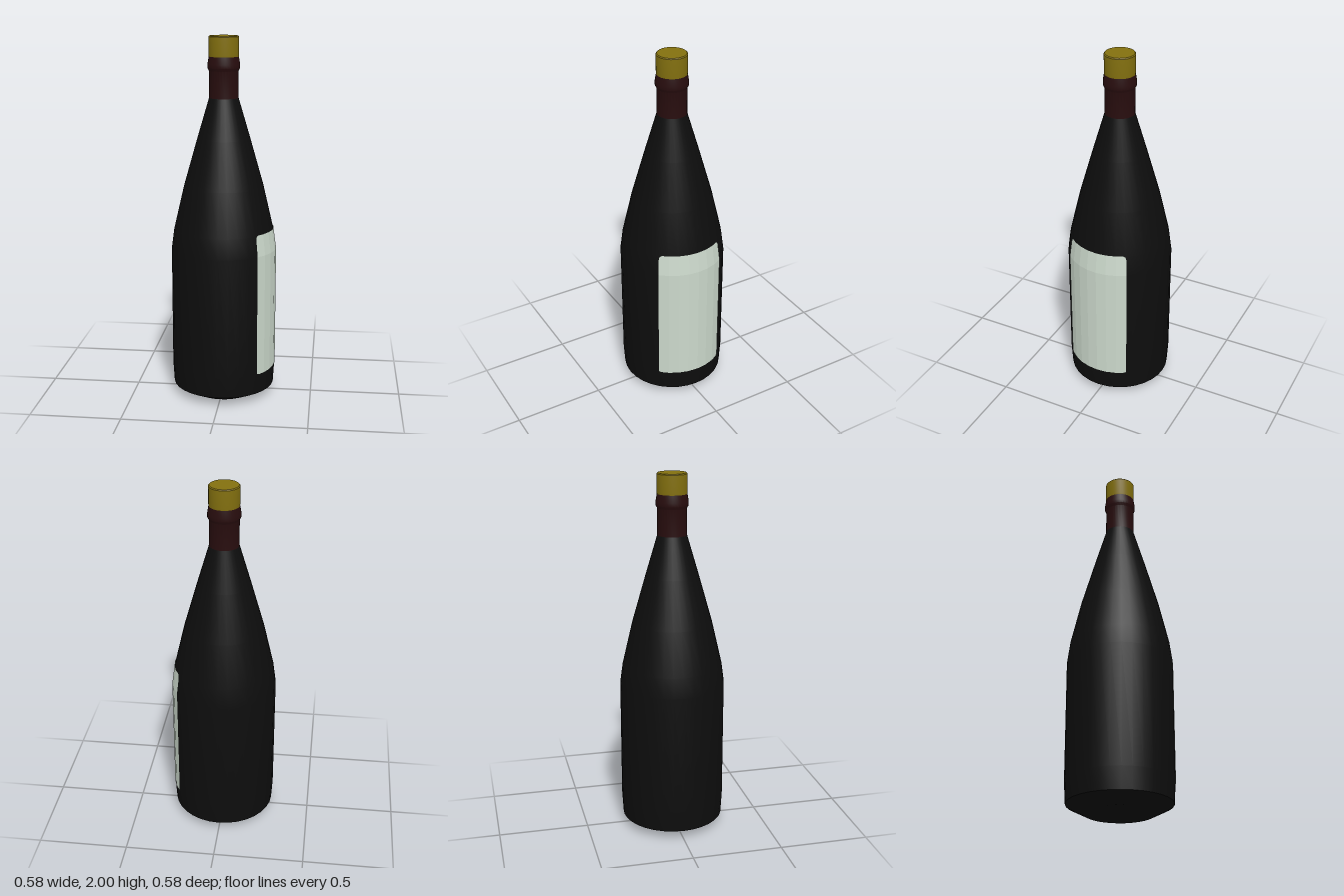
import * as THREE from 'three';
import { toCreasedNormals } from 'three/addons/utils/BufferGeometryUtils.js';

const SIDES = 32;
const STEP = (Math.PI * 2) / SIDES;

const mat = (name, color) => {
  const m = new THREE.MeshStandardMaterial({ color });
  m.name = name;
  return m;
};

// Turned part from [radius, height] pairs, with sharp edges kept
function turned(name, profile, material) {
  const lathe = new THREE.LatheGeometry(profile.map(([r, y]) => new THREE.Vector2(r, y)), SIDES);
  const mesh = new THREE.Mesh(toCreasedNormals(lathe, 0.5), material);
  mesh.name = name;
  return mesh;
}

// Curved paper label lying on the facets of the bottle side
function labelGeometry() {
  const first = 4, last = 11; // bottle facets covered, counted from +z towards +x
  const columns = [first, first + 0.1, first + 0.3];
  for (let i = first + 1; i < last; i++) columns.push(i);
  columns.push(last - 0.3, last - 0.1, last);
  const n = columns.length;
  const radius = (y) => 0.2925 - Math.max(0, y - 0.84) * 0.136;
  const positions = [], index = [];
  columns.forEach((c, i) => {
    const edge = Math.min(i, n - 1 - i);
    const round = [1, 0.3, 0][edge] ?? 0; // rounded corners
    const rows = [0.165 + 0.008 * round, 0.84, 0.955 - 0.02 * round];
    // stay on the flat facet between bottle edges
    const flat = Math.cos(STEP / 2) / Math.cos((c - Math.floor(c) - 0.5) * STEP);
    for (const y of rows) {
      const r = radius(y) * flat;
      positions.push(r * Math.sin(c * STEP), y, r * Math.cos(c * STEP));
    }
    if (i === n - 1) return;
    for (let j = 0; j < 2; j++) {
      const a = i * 3 + j, b = a + 3;
      index.push(a, b, b + 1, a, b + 1, a + 1);
    }
  });
  const g = new THREE.BufferGeometry();
  g.setAttribute('position', new THREE.Float32BufferAttribute(positions, 3));
  g.setIndex(index);
  const faceted = g.toNonIndexed();
  faceted.computeVertexNormals();
  return faceted;
}

export function createModel() {
  const glass = mat('black glass', 0x0d0d0d);
  const foil = mat('dark red foil', 0x280d0e);
  const gold = mat('gold cap', 0x83700f);
  const paper = mat('pale paper', 0xcbd8cb);
  paper.side = THREE.DoubleSide;

  const bottle = new THREE.Group();
  bottle.name = 'bottle';

  bottle.add(turned('body', [
    [0, 0.005], [0.185, 0], [0.283, 0.05], [0.29, 0.17], [0.29, 0.84],
    [0.275, 0.95], [0.219, 1.19], [0.145, 1.45], [0.08, 1.67],
  ], glass));

  // Neck sleeve with its lip
  bottle.add(turned('neckFoil', [
    [0.08, 1.67], [0.08, 1.815], [0.088, 1.83], [0.088, 1.85], [0.081, 1.89],
  ], foil));

  bottle.add(turned('cap', [
    [0.081, 1.89], [0.082, 1.9], [0.082, 1.995], [0.077, 2], [0, 2],
  ], gold));

  const label = new THREE.Mesh(labelGeometry(), paper);
  label.name = 'label';
  bottle.add(label);

  return bottle;
}
